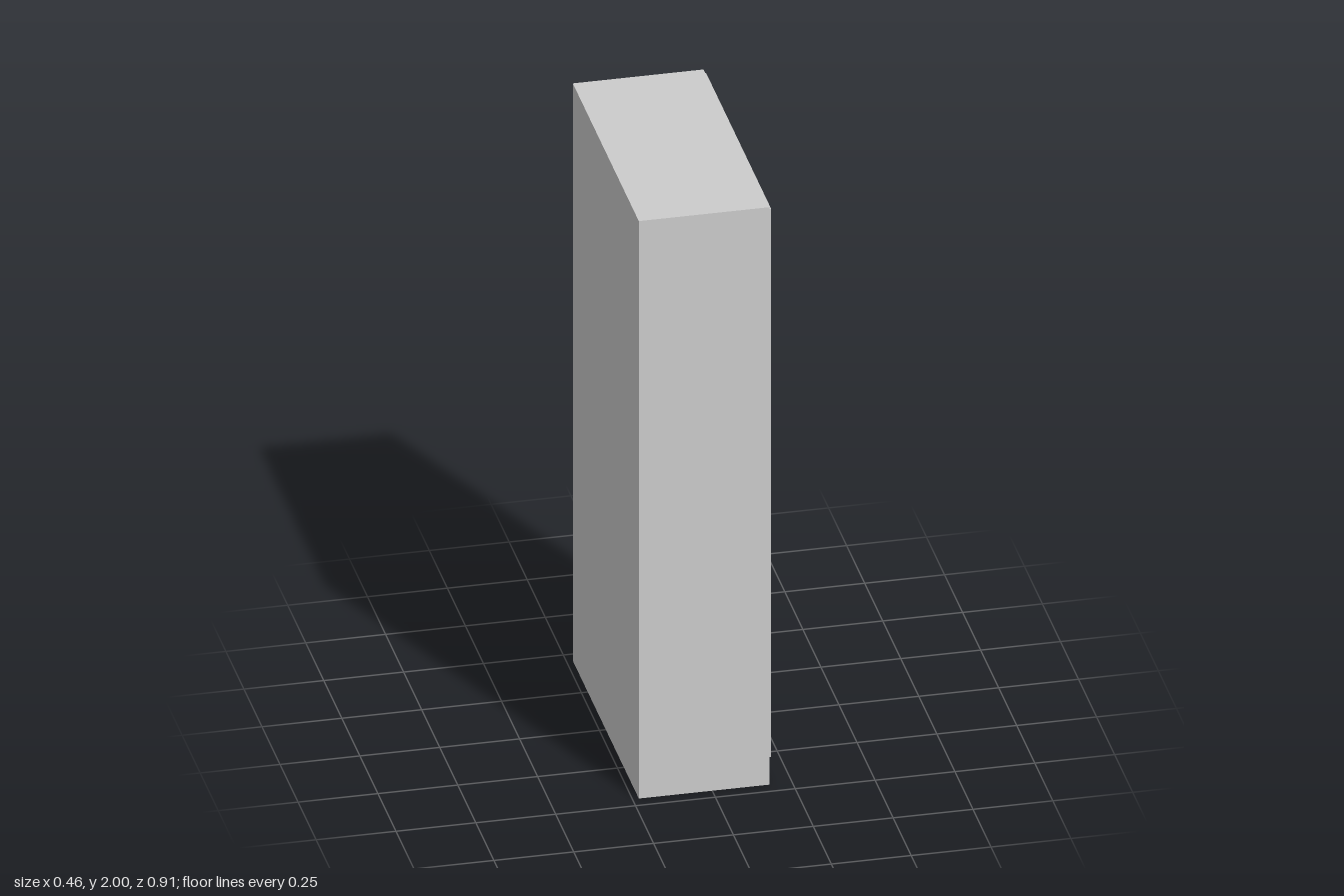
import * as THREE from 'three';

const grey = new THREE.MeshStandardMaterial({ color: 0xcccccc, flatShading: true });
const smoothGrey = new THREE.MeshStandardMaterial({ color: 0xcccccc });
const glass = new THREE.MeshStandardMaterial({ color: 0xaab4cc });

const FRONT = 0.186;   // front plane of the doors
const RECESS = 0.172;  // plane of the sunken panels

function add(parent, name, geometry, material = grey) {
  const mesh = new THREE.Mesh(geometry, material);
  mesh.name = name;
  parent.add(mesh);
  return mesh;
}

// box given by its limits on each axis
function box(x0, x1, y0, y1, z0, z1) {
  return new THREE.BoxGeometry(x1 - x0, y1 - y0, z1 - z0)
    .translate((x0 + x1) / 2, (y0 + y1) / 2, (z0 + z1) / 2);
}

// corners of a rectangle, counter-clockwise as seen from +x
const corners = (r, x) => [
  [x, r.y0, r.z1], [x, r.y0, r.z0], [x, r.y1, r.z0], [x, r.y1, r.z1],
];

// mitred sloping moulding between an outer and a sunken inner rectangle
function moulding(outer, inner) {
  const a = corners(outer, FRONT), b = corners(inner, RECESS);
  const points = [];
  for (let i = 0; i < 4; i++) {
    const j = (i + 1) % 4;
    points.push(...a[i], ...a[j], ...b[j], ...a[i], ...b[j], ...b[i]);
  }
  const geometry = new THREE.BufferGeometry();
  geometry.setAttribute('position', new THREE.Float32BufferAttribute(points, 3));
  geometry.computeVertexNormals();
  return geometry;
}

// door frame with a rectangular opening, extruded along x
function frame(door, opening) {
  const outline = (r, Type) => new Type([
    [-r.z1, r.y0], [-r.z0, r.y0], [-r.z0, r.y1], [-r.z1, r.y1],
  ].map(([u, v]) => new THREE.Vector2(u, v)));
  const shape = outline(door, THREE.Shape);
  shape.holes.push(outline(opening, THREE.Path));
  return new THREE.ExtrudeGeometry(shape, { depth: FRONT - RECESS, bevelEnabled: false })
    .rotateY(Math.PI / 2).translate(RECESS, 0, 0);
}

// bar handle on two short posts
function makeHandle(y0, y1, z) {
  const handle = new THREE.Group();
  handle.name = 'handle';
  const r = 0.0035, x = 0.2245;
  add(handle, 'handleBar', new THREE.CylinderGeometry(r, r, y1 - y0, 10), smoothGrey)
    .position.set(x, (y0 + y1) / 2, z);
  for (const y of [y0, y1]) {
    add(handle, 'handlePost',
      new THREE.CylinderGeometry(r, r, x - FRONT, 10).rotateZ(Math.PI / 2), smoothGrey)
      .position.set((x + FRONT) / 2, y, z);
    add(handle, 'handleCorner', new THREE.SphereGeometry(r, 10, 8), smoothGrey)
      .position.set(x, y, z);
  }
  return handle;
}

export function createModel() {
  const model = new THREE.Group();
  model.name = 'cabinet';

  // carcass with a thin rim around the doors and a plinth below
  const lip = 0.179, core = 0.169;
  add(model, 'carcass', box(-0.23, core, 0, 2, -0.457, 0.457));
  add(model, 'plinth', box(core, lip, 0, 0.088, -0.457, 0.457));
  add(model, 'topRim', box(core, lip, 1.993, 2, -0.457, 0.457));
  for (const s of [-1, 1]) {
    add(model, 'sideRim', box(core, lip, 0.088, 1.993, s * 0.4545 - 0.0025, s * 0.4545 + 0.0025));
  }

  // door rows: outline, moulding opening, sunken panel and handle heights
  const rows = [
    { name: 'lowerDoor', y: [0.091, 0.825], open: [0.122, 0.788], panel: [0.147, 0.767], grip: [0.644, 0.772], mat: grey },
    { name: 'upperDoor', y: [0.825, 1.99], open: [0.862, 1.958], panel: [0.882, 1.934], grip: [0.974, 1.102], mat: glass },
  ];
  for (const row of rows) {
    for (const s of [-1, 1]) {
      const rect = ([y0, y1], a, b) => ({ y0, y1, z0: Math.min(s * a, s * b), z1: Math.max(s * a, s * b) });
      const opening = rect(row.open, 0.036, 0.413);
      const inner = rect(row.panel, 0.057, 0.394);
      const door = new THREE.Group();
      door.name = row.name;
      add(door, 'doorFrame', frame(rect(row.y, 0, 0.45), opening));
      add(door, 'moulding', moulding(opening, inner));
      add(door, row.mat === glass ? 'glassPane' : 'doorPanel',
        box(core, RECESS, inner.y0, inner.y1, inner.z0, inner.z1), row.mat);
      door.add(makeHandle(...row.grip, s * 0.018));
      model.add(door);
    }
  }
  return model;
}
